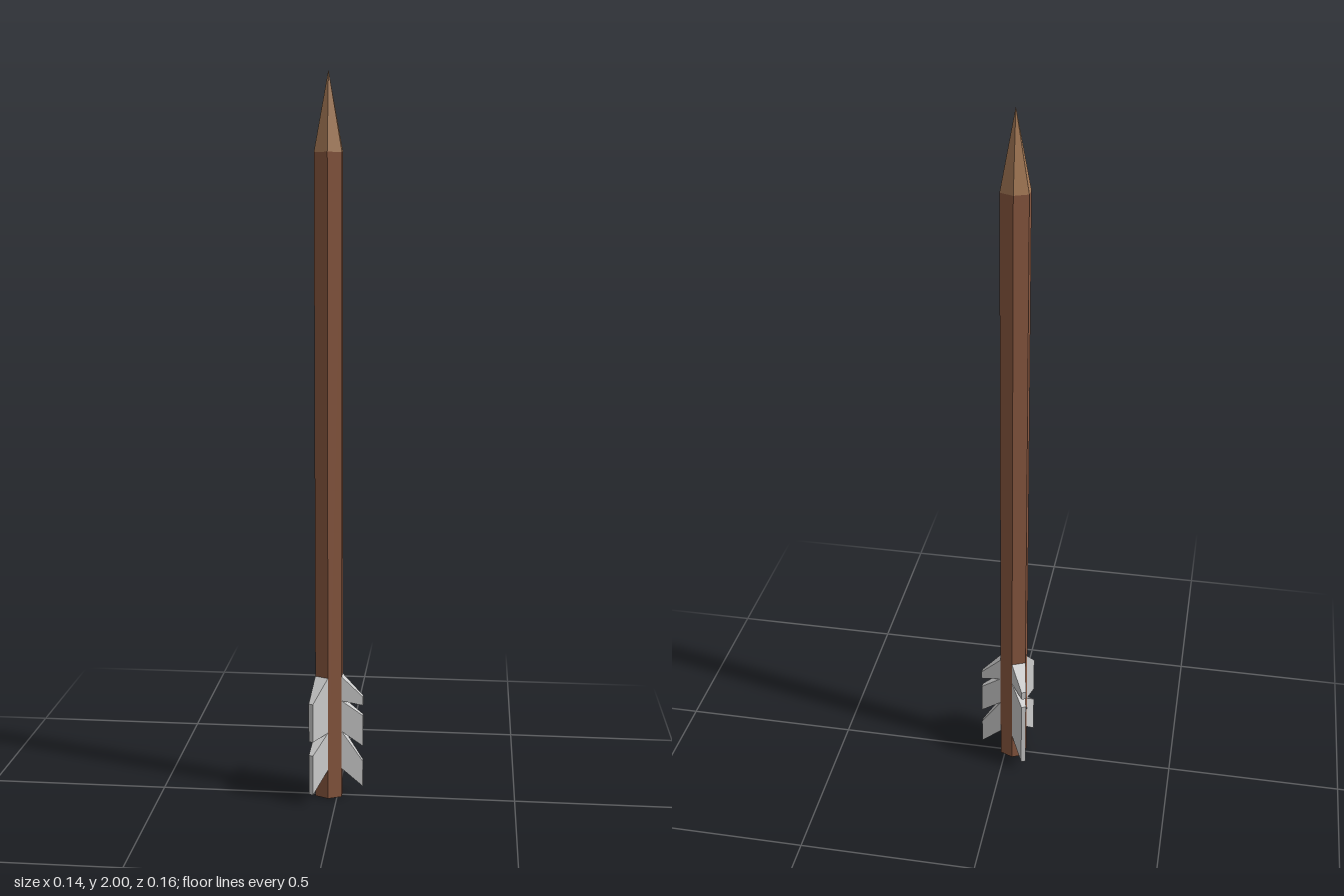
import * as THREE from 'three';

const AXIS_X = -0.024; // shaft axis; the fins spread wider on the +x side

const material = (color) => new THREE.MeshStandardMaterial({ color, flatShading: true });

// Slightly squashed hexagonal section, with corners on the z axis
function hexPart(name, topRadius, bottom, top, mat) {
  const geo = new THREE.CylinderGeometry(topRadius, 1, top - bottom, 6);
  geo.scale(0.0427, 1, 0.0325);
  geo.translate(AXIS_X, (top + bottom) / 2, 0);
  const mesh = new THREE.Mesh(geo, mat);
  mesh.name = name;
  return mesh;
}

// One feather: a box whose corners move to the fin's root and tip
// plan: [x, z] of root side +, root side -, tip side +, tip side -
// heights: root top, tip top, tip bottom, root bottom
function feather(plan, heights, mat) {
  const geo = new THREE.BoxGeometry(1, 1, 1);
  const p = geo.attributes.position;
  const [rootTop, tipTop, tipBottom, rootBottom] = heights;
  for (let i = 0; i < p.count; i++) {
    const outer = p.getX(i) > 0, upper = p.getY(i) > 0;
    const [x, z] = plan[(outer ? 2 : 0) + (p.getZ(i) > 0 ? 0 : 1)];
    const y = outer ? (upper ? tipTop : tipBottom) : (upper ? rootTop : rootBottom);
    p.setXYZ(i, x, y, z);
  }
  geo.computeVertexNormals();
  const mesh = new THREE.Mesh(geo, mat);
  mesh.name = 'feather';
  return mesh;
}

export function createModel() {
  const model = new THREE.Group();
  model.name = 'arrow';

  const wood = material(0x8a5840);
  const point = material(0xa87c58);
  const grey = material(0xcccccc);

  model.add(hexPart('shaft', 1, 0, 1.79, wood));
  model.add(hexPart('tip', 0, 1.79, 2, point));

  // Three fins, each with its own pattern of V-shaped notches
  const fins = [
    {
      name: 'sideFin',
      plan: [[0.013, 0.0165], [0.013, -0.0165], [0.072, 0.0065], [0.072, -0.0065]],
      feathers: [[0.355, 0.295, 0.27, 0.285], [0.285, 0.24, 0.15, 0.195], [0.195, 0.105, 0.03, 0.085]],
    },
    {
      name: 'frontFin',
      plan: [[-0.061, 0.0165], [-0.024, 0.0325], [-0.073, 0.0765], [-0.061, 0.0815]],
      feathers: [[0.355, 0.295, 0.185, 0.195], [0.195, 0.145, 0.03, 0.085]],
    },
    {
      name: 'backFin',
      plan: [[-0.024, -0.0325], [-0.061, -0.0165], [-0.061, -0.0815], [-0.073, -0.0765]],
      feathers: [[0.355, 0.295, 0.27, 0.285], [0.285, 0.24, 0.03, 0.085]],
    },
  ];
  for (const { name, plan, feathers } of fins) {
    const fin = new THREE.Group();
    fin.name = name;
    for (const heights of feathers) fin.add(feather(plan, heights, grey));
    model.add(fin);
  }
  return model;
}
